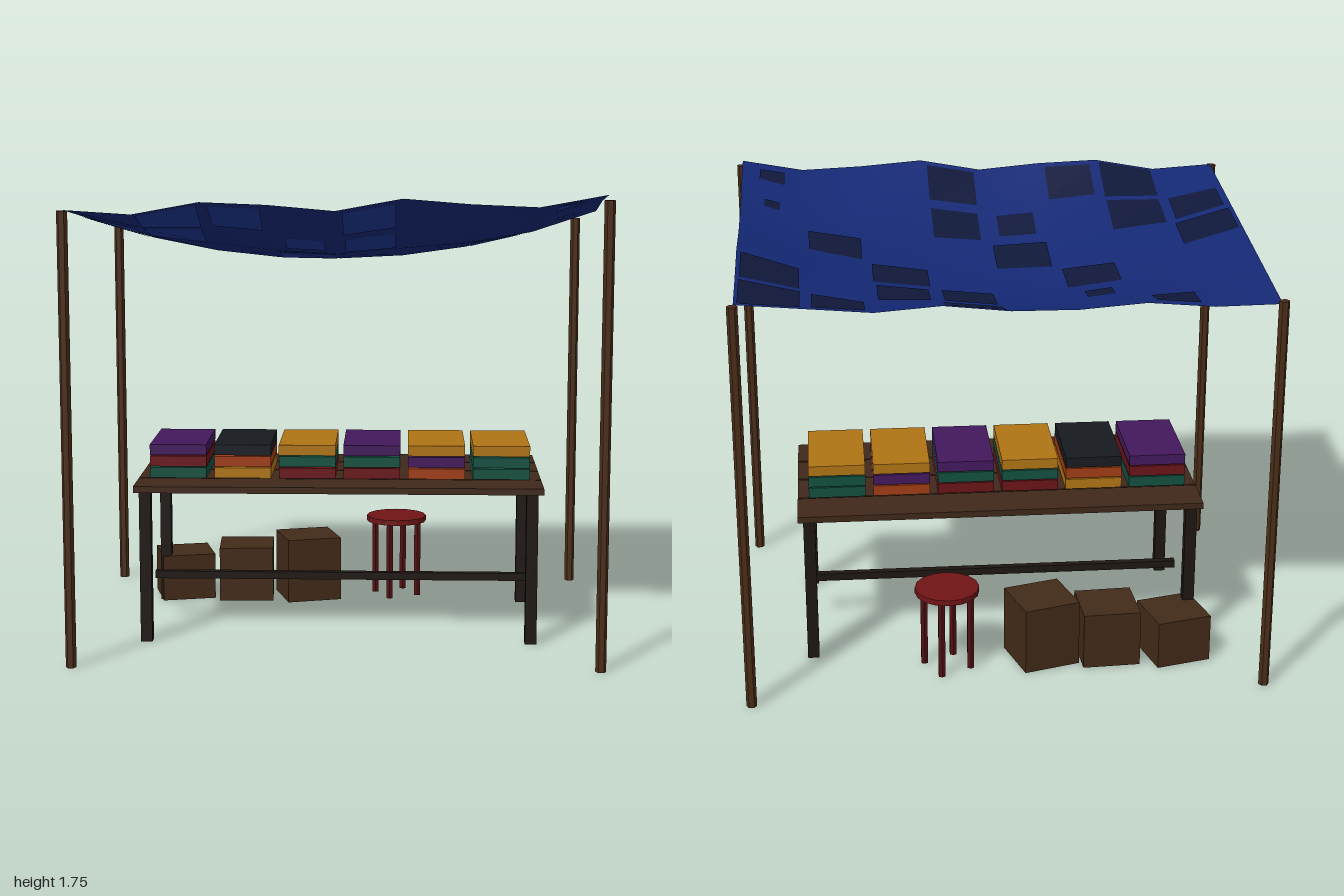
import * as THREE from 'three';

const mat = (color, extra = {}) => new THREE.MeshStandardMaterial({ color, ...extra });
const flat = (color) => mat(color, { flatShading: true });

export function createModel() {
  const model = new THREE.Group();

  function add(parent, name, geometry, material, x = 0, y = 0, z = 0) {
    const mesh = new THREE.Mesh(geometry, material);
    mesh.name = name;
    mesh.position.set(x, y, z);
    parent.add(mesh);
    return mesh;
  }
  function group(name) {
    const g = new THREE.Group();
    g.name = name;
    model.add(g);
    return g;
  }
  const box = (w, h, d) => new THREE.BoxGeometry(w, h, d);

  // Six-sided corner poles of different heights
  const poles = group('poles');
  const poleMat = flat(0x4a2d18);
  for (const [x, z, h] of [[0.98, 0.712, 1.73], [-0.98, 0.712, 1.69], [0.98, -0.712, 1.585], [-0.98, -0.712, 1.55]]) {
    const pole = add(poles, 'pole', new THREE.CylinderGeometry(0.02, 0.02, h, 6), poleMat, x, h / 2, z);
    pole.rotation.y = Math.PI / 6;
  }

  // Sagging cloth: a tilted sheet, a central sag and ripples along three edges
  const NX = 8, NZ = 6, HX = 0.976, HZ = 0.712;
  const frontRipple = [0, -0.022, 0.016, 0, -0.028, 0.01, -0.016, -0.033, 0.005];
  const backRipple = [0, -0.01, 0.005, -0.02, -0.025, -0.005, -0.03, -0.015, 0];
  const rightRipple = [0, 0, 0.01, -0.02, -0.028, -0.005, 0];
  const clothPoint = (i, j) => {
    const u = (i / NX) * 2 - 1, v = (j / NZ) * 2 - 1;
    const sag = 0.175 * (1 - u * u) * (1 - v * v);
    const ripple = frontRipple[i] * Math.max(v, 0) + backRipple[i] * Math.max(-v, 0)
      + rightRipple[j] * Math.max(u, 0);
    return new THREE.Vector3(u * HX, 1.641 + 0.026 * u + 0.077 * v - sag + ripple, v * HZ);
  };
  const canopy = group('canopy');
  const clothGeo = new THREE.PlaneGeometry(2 * HX, 2 * HZ, NX, NZ).rotateX(-Math.PI / 2);
  for (let j = 0; j <= NZ; j++)
    for (let i = 0; i <= NX; i++) {
      const p = clothPoint(i, j);
      clothGeo.attributes.position.setXYZ(j * (NX + 1) + i, p.x, p.y, p.z);
    }
  clothGeo.computeVertexNormals();
  add(canopy, 'cloth', clothGeo, mat(0x142874, { side: THREE.DoubleSide }));

  // Square patches centred in cloth cells: [column, row, size]
  const patches = [
    [1, 0, 0.155], [4, 0, 0.21], [6, 0, 0.185], [7, 0, 0.215],
    [2, 1, 0.1], [4, 1, 0.19], [5, 1, 0.19], [7, 1, 0.21],
    [2, 2, 0.2], [5, 2, 0.21],
    [0, 3, 0.21], [3, 3, 0.21], [6, 3, 0.2],
    [0, 4, 0.19], [1, 4, 0.21], [3, 4, 0.145], [4, 4, 0.185], [7, 4, 0.06],
    [1, 5, 0.215], [2, 5, 0.185], [4, 5, 0.19], [7, 5, 0.1],
  ];
  function patchGeometry(dy, flip) {
    const pos = [];
    for (const [i, j, size] of patches) {
      const corners = [clothPoint(i, j), clothPoint(i, j + 1), clothPoint(i + 1, j + 1), clothPoint(i + 1, j)];
      const mid = corners[1].clone().lerp(corners[3], 0.5);
      const inset = corners.map((c) => mid.clone().lerp(c, size / 0.24));
      const order = flip ? [0, 3, 1, 1, 3, 2] : [0, 1, 3, 1, 2, 3];
      for (const k of order) pos.push(inset[k].x, inset[k].y + dy, inset[k].z);
    }
    const geo = new THREE.BufferGeometry();
    geo.setAttribute('position', new THREE.Float32BufferAttribute(pos, 3));
    geo.computeVertexNormals();
    return geo;
  }
  add(canopy, 'patchesTop', patchGeometry(0.003, false), mat(0x10183a));
  add(canopy, 'patchesUnderside', patchGeometry(-0.003, true), mat(0x1c3590));

  // Table: four planks, four legs and a low rail
  const table = group('table');
  const plankMat = mat(0x40281a), legMat = mat(0x1e1612);
  for (let k = 0; k < 4; k++)
    add(table, 'plank', box(1.575, 0.025, 0.179), plankMat, 0, 0.604, (k - 1.5) * 0.187);
  for (const sx of [-1, 1])
    for (const sz of [-1, 1])
      add(table, 'tableLeg', box(0.045, 0.592, 0.045), legMat, sx * 0.745, 0.296, sz * 0.33);
  add(table, 'rail', box(1.5, 0.03, 0.03), legMat, 0, 0.185, 0);

  // Folded cloth stacks, colours listed from the bottom up
  const teal = mat(0x125040), red = mat(0x6a1418), gold = mat(0xb07414);
  const orange = mat(0xa03c14), purple = mat(0x43185c), black = mat(0x161a20);
  const stacks = [
    [teal, red, purple], [gold, orange, black], [red, teal, gold],
    [red, teal, purple], [orange, purple, gold], [teal, teal, gold],
  ];
  const goods = group('foldedGoods');
  stacks.forEach((layers, s) => layers.forEach((m, k) =>
    add(goods, 'foldedCloth', box(0.222, 0.041, 0.378), m, (s - 2.5) * 0.253, 0.638 + k * 0.0455, 0)));

  // Storage boxes behind the table: [x, z, width, height, turn]
  const crates = group('storageBoxes');
  const crateMat = mat(0x422a18);
  for (const [x, z, w, h, turn] of [
    [-0.675, -0.42, 0.22, 0.19, 0.25], [-0.412, -0.41, 0.224, 0.225, 0.05], [-0.152, -0.41, 0.226, 0.265, 0.29],
  ]) add(crates, 'storageBox', box(w, h, w), crateMat, x, h / 2, z).rotation.y = turn;

  // Round stool with four legs
  const stool = group('stool');
  stool.position.set(0.222, 0, -0.453);
  add(stool, 'seat', new THREE.CylinderGeometry(0.125, 0.125, 0.022, 16), flat(0x701416), 0, 0.329, 0);
  for (let k = 0; k < 4; k++) {
    const a = 0.3 + (k * Math.PI) / 2;
    add(stool, 'stoolLeg', new THREE.CylinderGeometry(0.015, 0.015, 0.32, 6), flat(0x521012),
      0.093 * Math.cos(a), 0.16, 0.093 * Math.sin(a));
  }
  return model;
}
